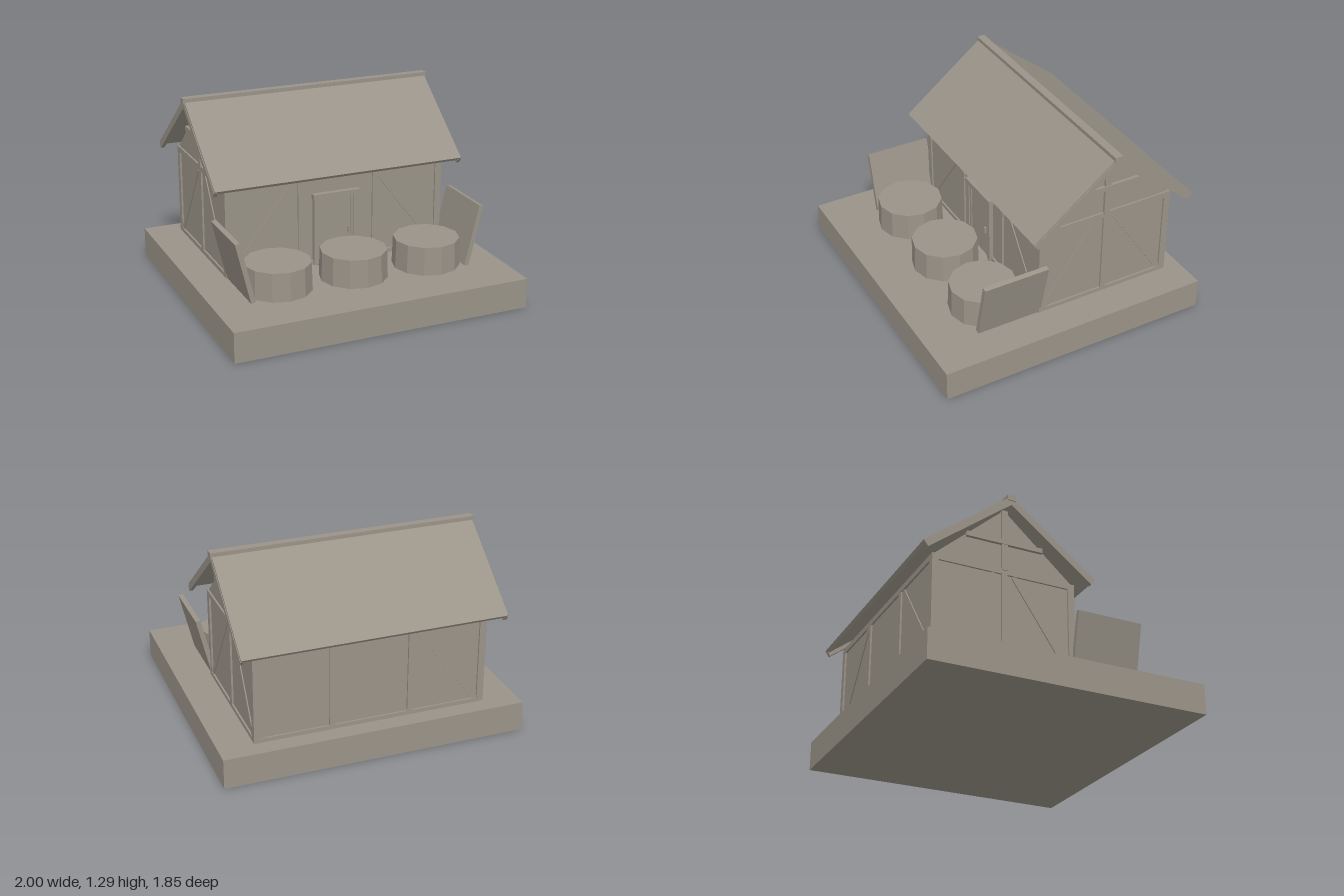
import * as THREE from 'three';

export function createModel() {
  const model = new THREE.Group();
  const clay = new THREE.MeshStandardMaterial({ color: 0x9a9388 });
  clay.name = 'warm grey clay';

  const add = (parent, name, geometry, x, y, z) => {
    const mesh = new THREE.Mesh(geometry, clay);
    mesh.name = name;
    mesh.position.set(x, y, z);
    parent.add(mesh);
    return mesh;
  };
  const box = (parent, name, w, h, d, x, y, z) =>
    add(parent, name, new THREE.BoxGeometry(w, h, d), x, y, z);

  const GROUND = 0.2, EAVE = 0.82, MID_Z = -0.328;
  const HALF_X = 0.77, HALF_Z = 0.482, TIMBER = 0.03;

  box(model, 'base', 2, GROUND, 1.85, 0, GROUND / 2, 0);

  // Wall core with gables, extruded along x
  const inset = 0.012, hz = HALF_Z - inset;
  const profile = new THREE.Shape([
    [-hz, GROUND], [hz, GROUND], [hz, EAVE], [0, 1.24], [-hz, EAVE],
  ].map(([a, b]) => new THREE.Vector2(a, b)));
  const length = 2 * (HALF_X - inset);
  const core = new THREE.ExtrudeGeometry(profile, { depth: length, bevelEnabled: false });
  core.translate(0, 0, -length / 2);
  core.rotateY(Math.PI / 2);
  add(model, 'walls', core, 0, 0, MID_Z);

  // Timber frame laid on one wall; local z is the outward direction
  function frame(name, half, posts, braceTop) {
    const g = new THREE.Group();
    g.name = name;
    const post = 0.045, d = TIMBER;
    const height = EAVE - GROUND, midY = (EAVE + GROUND) / 2;
    for (const s of [-1, 1]) {
      box(g, 'cornerPost', post, height, d, s * (half - post / 2), midY, -d / 2);
      // Diagonal from the outer bottom corner to the inner top
      const x0 = half - post, y0 = GROUND + 0.02, y1 = EAVE - 0.04;
      const dx = braceTop - x0, dy = y1 - y0;
      const brace = box(g, 'brace', 0.036, Math.hypot(dx, dy), d - 0.006,
        s * (x0 + braceTop) / 2, (y0 + y1) / 2, -d / 2 - 0.002);
      brace.rotation.z = -s * Math.atan2(dx, dy);
    }
    for (const x of posts) box(g, 'wallPost', 0.038, height, d, x, midY, -d / 2);
    box(g, 'topBeam', 2 * half, 0.038, d, 0, EAVE - 0.019, -d / 2);
    box(g, 'sill', 2 * half, 0.028, d, 0, GROUND + 0.014, -d / 2);
    model.add(g);
    return g;
  }
  frame('frontFrame', HALF_X, [-0.25, 0.28], 0.3).position.z = MID_Z + HALF_Z;
  const back = frame('backFrame', HALF_X, [-0.26, 0.26], 0.3);
  back.position.z = MID_Z - HALF_Z;
  back.rotation.y = Math.PI;
  for (const s of [-1, 1]) {
    const side = frame('sideFrame', HALF_Z, [0], 0.065);
    side.position.set(s * HALF_X, 0, MID_Z);
    side.rotation.y = s * Math.PI / 2;
    box(side, 'gablePost', 0.04, 0.42, TIMBER, 0, 1.02, -0.01);
    box(side, 'gableTie', 0.52, 0.032, TIMBER, 0, 1.005, -0.006);
  }

  // Door with frame, panel and handle
  const face = MID_Z + HALF_Z;
  const door = new THREE.Group();
  door.name = 'door';
  for (const s of [-1, 1]) box(door, 'doorJamb', 0.035, 0.49, 0.045, s * 0.142, 0.445, 0);
  box(door, 'doorLintel', 0.33, 0.035, 0.055, 0, 0.673, 0);
  box(door, 'doorLeaf', 0.25, 0.46, 0.025, 0, 0.43, -0.004);
  for (const s of [-1, 1]) box(door, 'doorStile', 0.02, 0.44, 0.01, s * 0.115, 0.43, 0.01);
  box(door, 'doorHandle', 0.014, 0.045, 0.02, 0.09, 0.415, 0.015);
  door.position.set(-0.005, 0, face - 0.005);
  model.add(door);
  box(model, 'doorstep', 0.28, 0.012, 0.14, 0, GROUND + 0.006, face + 0.07);

  // Roof slabs hung from the ridge, with a rafter under each end
  const pitch = 0.663, slope = 0.735, slab = 0.024, rafter = 0.026;
  for (const s of [-1, 1]) {
    const half = new THREE.Group();
    half.name = 'roofHalf';
    half.position.set(0, 1.286, MID_Z);
    half.rotation.order = 'YXZ';
    half.rotation.set(pitch, s < 0 ? Math.PI : 0, 0);
    box(half, 'roofSlab', 1.73, slab, slope, 0, -slab / 2, slope / 2);
    for (const e of [-1, 1])
      box(half, 'rafter', 0.025, rafter + 0.01, slope + 0.004, e * 0.856,
        -slab - rafter / 2 + 0.005, slope / 2);
    model.add(half);
  }
  box(model, 'ridgeBeam', 1.75, 0.04, 0.055, 0, 1.27, MID_Z);

  // Row of low twelve-sided tubs
  for (const x of [-0.525, 0, 0.525]) {
    const tub = new THREE.CylinderGeometry(0.218, 0.224, 0.19, 12).toNonIndexed();
    tub.computeVertexNormals();
    add(model, 'tub', tub, x, GROUND + 0.095, 0.423);
  }

  // Boards leaning outwards on both sides of the yard
  for (const s of [-1, 1]) {
    const board = box(model, 'leaningBoard', 0.032, 0.415, 0.445, s * 0.794, 0.405, 0.358);
    board.rotation.z = -s * 0.235;
  }
  return model;
}
